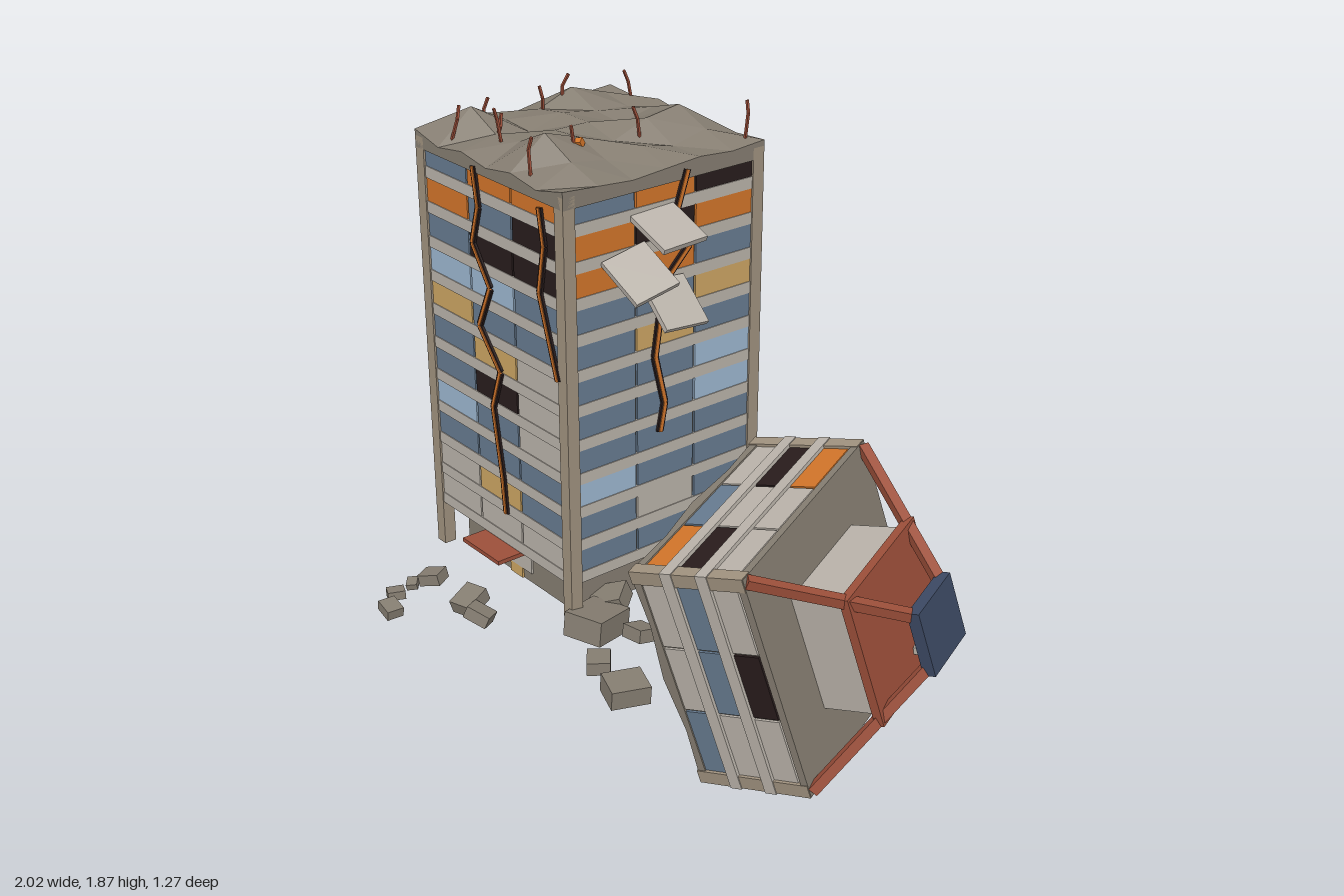
import * as THREE from 'three';

const mat = (name, color) => {
  const m = new THREE.MeshStandardMaterial({ color });
  m.name = name;
  return m;
};
const M = {
  concrete: mat('rough concrete', 0x857d71),
  trim: mat('pale grey trim', 0xbab3aa),
  column: mat('tan column', 0xa0927f),
  blue: mat('blue glass', 0x677b90),
  sky: mat('light blue glass', 0x9db7d0),
  orange: mat('fire orange', 0xd2752a),
  yellow: mat('warm yellow', 0xcca563),
  dark: mat('burnt black', 0x281c1c),
  red: mat('rust red', 0x9c4f3a),
  navy: mat('navy', 0x3c4963),
};
const WINDOW = { b: M.blue, l: M.sky, o: M.orange, y: M.yellow, d: M.dark, g: M.trim };
const Y = new THREE.Vector3(0, 1, 0);

function box(parent, name, material, [w, h, d], [x, y, z], rot = [0, 0, 0]) {
  const m = new THREE.Mesh(new THREE.BoxGeometry(w, h, d), material);
  m.name = name;
  m.position.set(x, y, z);
  m.rotation.set(...rot);
  parent.add(m);
  return m;
}

// square bar between two points
function bar(parent, name, material, a, b, w, d = w) {
  const p = new THREE.Vector3(...a), q = new THREE.Vector3(...b);
  const dir = q.clone().sub(p);
  const m = box(parent, name, material, [w, dir.length(), d], p.clone().add(q).multiplyScalar(0.5).toArray());
  m.quaternion.setFromUnitVectors(Y, dir.normalize());
  return m;
}

// slab whose top is broken into uneven facets
function tornSlab(parent, name, half, heights) {
  const n = heights.length - 1;
  let geo = new THREE.BoxGeometry(half * 2, 1, half * 2, n, 1, n).translate(0, 0.5, 0);
  const p = geo.attributes.position;
  const cell = (v) => Math.round((v / half + 1) * n / 2);
  for (let i = 0; i < p.count; i++) {
    if (p.getY(i) > 0.5) p.setY(i, heights[cell(p.getZ(i))][cell(p.getX(i))]);
  }
  geo = geo.toNonIndexed();
  geo.computeVertexNormals();
  const m = new THREE.Mesh(geo, M.concrete);
  m.name = name;
  parent.add(m);
  return m;
}

// one wall of windows; rows run from top to bottom, each letter is a pane
function facade(parent, name, angle, rows, topY, step, half) {
  const g = new THREE.Group();
  g.name = name;
  g.rotation.y = angle;
  parent.add(g);
  const w = (half - 0.04) * 2 / 3;
  rows.forEach((row, r) => [...row].forEach((c, i) =>
    box(g, 'window', WINDOW[c], [w - 0.008, step * 0.7, 0.008], [(i - 1) * w, topY - r * step, half - 0.011])));
  return g;
}

// jagged crack with a glowing core
function crack(face, points) {
  for (let i = 1; i < points.length; i++) {
    const [a, b] = [points[i - 1], points[i]];
    bar(face, 'crackEdge', M.dark, [...a, 0.4], [...b, 0.4], 0.026, 0.008);
    bar(face, 'crackGlow', M.orange, [...a, 0.403], [...b, 0.403], 0.012, 0.008);
  }
}

function cornerColumns(parent, half, y0, y1) {
  for (const sx of [-1, 1]) for (const sz of [-1, 1]) {
    box(parent, 'cornerColumn', M.column, [0.045, y1 - y0, 0.045],
      [sx * (half - 0.0225), (y0 + y1) / 2, sz * (half - 0.0225)]);
  }
}

function createTower() {
  const t = new THREE.Group();
  t.name = 'tower';
  t.position.set(-0.6, 0, -0.2);
  box(t, 'groundFloor', M.concrete, [0.64, 0.18, 0.64], [0, 0.32, 0]);
  box(t, 'towerBody', M.concrete, [0.77, 1.3, 0.77], [0, 1.05, 0]);
  cornerColumns(t, 0.4, 0.23, 1.73);
  for (let k = 0; k < 11; k++) box(t, 'floorBand', M.trim, [0.792, 0.04, 0.792], [0, 0.416 + k * 0.12, 0]);

  const walls = [
    ['boo', 'obd', 'bdd', 'llb', 'ybb', 'byg', 'bdg', 'lbg', 'bbb', 'gyb', 'ggg'],
    ['bod', 'odo', 'oob', 'bby', 'byb', 'bbl', 'bbl', 'bbb', 'lbb', 'bgb', 'bby'],
    ['bdb', 'ddb', 'bbd', 'obo', 'bbb', 'blb', 'bbb', 'lgb', 'bbb', 'bbg', 'boy'],
    ['obo', 'oob', 'bbb', 'dbo', 'bob', 'obb', 'bbd', 'bbb', 'gbb', 'ybb', 'yyb'],
  ];
  const names = ['frontWall', 'leftWall', 'backWall', 'rightWall'];
  const faces = walls.map((rows, i) =>
    facade(t, names[i], [0, 1, 2, -1][i] * Math.PI / 2, rows, 1.674, 0.12, 0.4));
  crack(faces[0], [[-0.07, 1.71], [-0.05, 1.58], [-0.09, 1.45], [0, 1.32], [-0.07, 1.17],
    [0.04, 1.04], [-0.01, 0.9], [0.03, 0.65], [0.04, 0.52]]);
  crack(faces[0], [[0.28, 1.67], [0.3, 1.55], [0.27, 1.39], [0.33, 1.2], [0.355, 1.12]]);
  crack(faces[1], [[0.08, 1.72], [0.04, 1.6], [0.09, 1.47], [0, 1.38], [-0.03, 1.25],
    [-0.05, 1.12], [-0.01, 0.95], [-0.03, 0.85]]);

  // broken top
  tornSlab(t, 'brokenTop', 0.4, [
    [0.06, 0.05, 0.07, 0.05, 0.06, 0.05, 0.06],
    [0.05, 0.09, 0.07, 0.10, 0.14, 0.09, 0.05],
    [0.06, 0.13, 0.08, 0.07, 0.12, 0.06, 0.06],
    [0.04, 0.08, 0.10, 0.10, 0.07, 0.09, 0.05],
    [0.06, 0.07, 0.06, 0.10, 0.11, 0.07, 0.04],
    [0.05, 0.14, 0.08, 0.09, 0.15, 0.09, 0.05],
    [0.06, 0.03, 0.05, 0.03, 0.05, 0.03, 0.06],
  ]).position.y = 1.69;

  // bent reinforcing rods: x, z, top height
  [[-0.2, -0.34, 1.86], [0.36, -0.35, 1.88], [-0.25, -0.08, 1.87], [-0.26, -0.01, 1.85], [0.17, -0.08, 1.87],
    [-0.28, 0.21, 1.84], [-0.15, 0.26, 1.83], [-0.06, 0.29, 1.88], [0.18, 0.18, 1.86], [-0.25, 0.36, 1.85],
    [0.2, 0.37, 1.86]].forEach(([x, z, top], i) => {
    const dx = 0.018 * Math.sin(i * 2.3), dz = 0.018 * Math.cos(i * 1.7);
    bar(t, 'bentRod', M.red, [x, 1.73, z], [x + dx, top - 0.04, z + dz], 0.008);
    bar(t, 'bentRod', M.red, [x + dx, top - 0.04, z + dz], [x + dx * 0.3, top, z + dz * 2], 0.008);
  });
  box(t, 'ember', M.orange, [0.024, 0.024, 0.024], [-0.28, 1.772, 0.21], [0.5, 0.5, 0]);
  box(t, 'ember', M.orange, [0.024, 0.024, 0.024], [0.18, 1.8, 0.17], [0.5, 0.5, 0]);

  // entrance
  box(t, 'canopy', M.red, [0.21, 0.015, 0.17], [0, 0.385, 0.4]);
  box(t, 'doorPanel', M.trim, [0.14, 0.08, 0.008], [0, 0.31, 0.323]);
  box(t, 'doorLight', M.yellow, [0.07, 0.04, 0.008], [-0.02, 0.25, 0.323]);

  // floor slabs hanging from the side: y, z, slope, twist
  [[1.58, 0.055, -0.38, 0.04], [1.455, 0.165, -0.57, 0.18], [1.325, 0.03, -0.7, -0.08]].forEach(([y, z, slope, twist]) =>
    box(t, 'hangingSlab', M.trim, [0.18, 0.018, 0.17], [0.472, y, z], [twist, 0, slope]));
  return t;
}

function createFallenTop() {
  const f = new THREE.Group();
  f.name = 'fallenTop';
  const up = new THREE.Vector3(0.924, 0.243, -0.296).normalize();
  const x = new THREE.Vector3().crossVectors(up, new THREE.Vector3(0.336, -0.142, 0.931)).normalize();
  const z = new THREE.Vector3().crossVectors(x, up);
  f.quaternion.setFromRotationMatrix(new THREE.Matrix4().makeBasis(x, up, z));
  f.position.set(0.637, 0.54, -0.188);

  box(f, 'fallenBody', M.concrete, [0.75, 0.37, 0.75], [0, -0.19, 0]);
  box(f, 'fallenRoof', M.concrete, [0.78, 0.025, 0.78], [0, -0.0125, 0]);
  cornerColumns(f, 0.392, -0.4, -0.002);
  for (const y of [-0.142, -0.267]) box(f, 'floorBand', M.trim, [0.79, 0.04, 0.79], [0, y, 0]);
  [['gdg', 'bbg', 'ggb'], ['dob', 'gdd', 'bgd'], ['ogd', 'ggg', 'bgo'], ['ogg', 'dgd', 'gbo']].forEach((rows, i) =>
    facade(f, 'fallenWall', [0, 1, 2, -1][i] * Math.PI / 2, rows, -0.08, 0.125, 0.39));

  // torn underside
  const torn = tornSlab(f, 'tornUnderside', 0.388, [
    [0.03, 0.02, 0.04, 0.02, 0.03],
    [0.02, 0.08, 0.05, 0.09, 0.03],
    [0.04, 0.05, 0.10, 0.04, 0.03],
    [0.02, 0.09, 0.04, 0.08, 0.02],
    [0.03, 0.02, 0.04, 0.02, 0.03],
  ]);
  torn.rotation.x = Math.PI;
  torn.position.y = -0.37;

  // rooftop hut, plate and the frame that carries the tip
  box(f, 'rooftopHut', M.trim, [0.4, 0.18, 0.4], [0, 0.09, 0]);
  box(f, 'redPlate', M.red, [0.45, 0.03, 0.45], [0, 0.195, 0]);
  for (const sx of [-1, 1]) for (const sz of [-1, 1]) {
    bar(f, 'frameLeg', M.red, [sx * 0.375, 0, sz * 0.375], [sx * 0.095, 0.32, sz * 0.095], 0.032);
  }
  box(f, 'tipPlate', M.navy, [0.22, 0.04, 0.22], [0, 0.335, 0]);
  bar(f, 'brokenPipe', M.trim, [0.13, 0.21, -0.04], [0.14, 0.28, -0.05], 0.025);
  return f;
}

function createRubble() {
  const g = new THREE.Group();
  g.name = 'rubble';
  // x, y, z, size
  [[-0.76, 0.25, 0.38, 0.08], [-0.78, 0.24, 0.45, 0.045], [-0.76, 0.24, 0.53, 0.06], [-0.68, 0.245, 0.6, 0.07],
    [-0.55, 0.25, 0.37, 0.1], [-0.46, 0.245, 0.39, 0.085], [0.02, 0.245, 0.26, 0.09], [0.21, 0.26, 0.3, 0.13],
    [-0.03, 0.25, 0.05, 0.09], [-0.16, 0.26, 0.13, 0.17], [-0.23, 0.27, 0.02, 0.12], [-0.15, 0.26, -0.34, 0.16],
    [-0.1, 0.26, -0.18, 0.16], [0.02, 0.28, -0.2, 0.15], [0.1, 0.28, -0.15, 0.15], [0.12, 0.28, -0.28, 0.15],
    [0.2, 0.28, -0.45, 0.15]].forEach(([x, y, z, s], i) =>
    box(g, 'rubbleBlock', M.concrete, [s, s * 0.5, s * 0.85], [x, y, z],
      [0.25 * Math.sin(i * 2.1), i * 1.9 + 0.5, 0.25 * Math.cos(i * 1.3)]));
  return g;
}

export function createModel() {
  const model = new THREE.Group();
  model.name = 'collapsedTower';
  model.add(createTower(), createFallenTop(), createRubble());
  return model;
}
